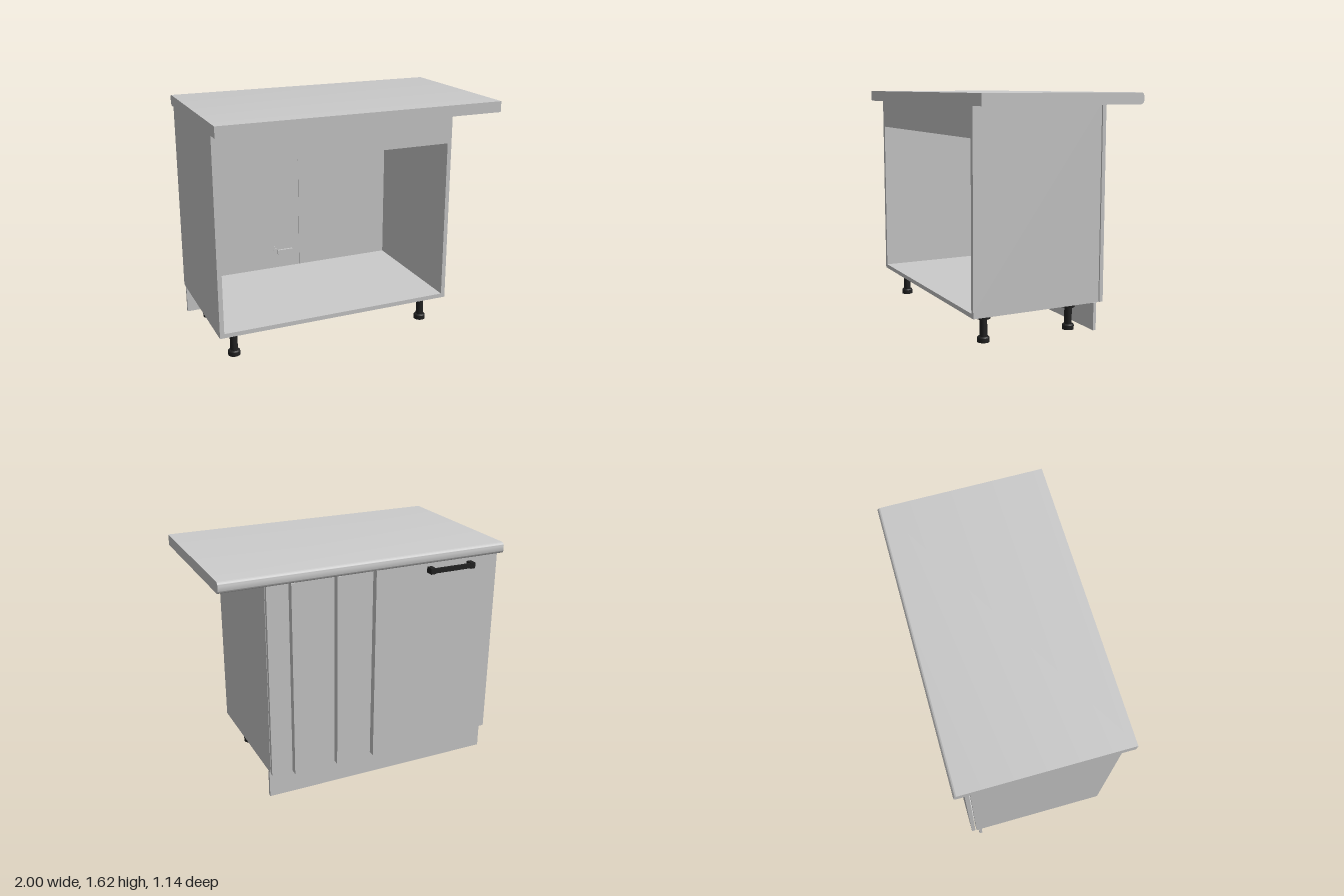
import * as THREE from 'three';
import { toCreasedNormals } from 'three/addons/utils/BufferGeometryUtils.js';

const grey = new THREE.MeshStandardMaterial({ color: 0xcccccc });
const black = new THREE.MeshStandardMaterial({ color: 0x222222 });

// Box given by its limits on each axis
function box(parent, name, [x0, x1], [y0, y1], [z0, z1], material = grey) {
  const mesh = new THREE.Mesh(new THREE.BoxGeometry(x1 - x0, y1 - y0, z1 - z0), material);
  mesh.position.set((x0 + x1) / 2, (y0 + y1) / 2, (z0 + z1) / 2);
  mesh.name = name;
  parent.add(mesh);
  return mesh;
}

// Worktop with a rounded edge on the door side
function worktop() {
  const h = 0.075, d = 0.57, r = 0.025;
  const s = new THREE.Shape();
  s.moveTo(-d, 0);
  s.lineTo(d - r, 0);
  s.absarc(d - r, r, r, -Math.PI / 2, 0, false);
  s.lineTo(d, h - r);
  s.absarc(d - r, h - r, r, 0, Math.PI / 2, false);
  s.lineTo(-d, h);
  s.closePath();
  const geo = new THREE.ExtrudeGeometry(s, { depth: 2, bevelEnabled: false, curveSegments: 8 });
  geo.rotateY(Math.PI / 2).translate(-1, 1.55, 0);
  const mesh = new THREE.Mesh(toCreasedNormals(geo, 0.6), grey);
  mesh.name = 'worktop';
  return mesh;
}

// Adjustable foot turned from one profile
function leg(x, z) {
  const profile = [
    [0, 0], [0.041, 0], [0.041, 0.03], [0.034, 0.038], [0.026, 0.038], [0.026, 0.155],
    [0.046, 0.158], [0.046, 0.185], [0.062, 0.19], [0.062, 0.2], [0, 0.2],
  ].map(([r, y]) => new THREE.Vector2(r, y));
  const geo = toCreasedNormals(new THREE.LatheGeometry(profile, 24), 0.5);
  const mesh = new THREE.Mesh(geo, black);
  mesh.position.set(x, 0, z);
  mesh.name = 'leg';
  return mesh;
}

// Concealed hinge: cup in the door, flange and arm
function hinge(y) {
  const g = new THREE.Group();
  g.name = 'hinge';
  const cup = new THREE.Mesh(new THREE.CylinderGeometry(0.028, 0.028, 0.006, 24), grey);
  cup.rotation.x = Math.PI / 2;
  cup.position.set(-0.275, y, -0.475);
  cup.name = 'hingeCup';
  g.add(cup);
  box(g, 'hingeFlange', [-0.302, -0.28], [y - 0.045, y + 0.045], [-0.478, -0.474]);
  box(g, 'hingeArm', [-0.26, -0.14], [y - 0.016, y + 0.016], [-0.478, -0.46]);
  return g;
}

export function createModel() {
  const model = new THREE.Group();
  model.name = 'cornerBaseCabinet';
  model.add(worktop());

  // Carcass, open towards +z
  const carcass = new THREE.Group();
  carcass.name = 'carcass';
  model.add(carcass);
  const depth = [-0.468, 0.477];
  box(carcass, 'bottomPanel', [-1, 0.68], [0.2, 0.23], depth);
  box(carcass, 'rightSidePanel', [-1, -0.97], [0.23, 1.55], depth);
  box(carcass, 'leftSidePanel', [0.65, 0.68], [0.23, 1.55], depth);
  box(carcass, 'uprightRail', [-0.97, 0.65], [1.345, 1.55], [0.447, 0.477]);
  box(carcass, 'flatRail', [-0.97, 0.65], [1.52, 1.55], [-0.468, -0.33]);

  // Door, fixed panel and upright battens
  const face = [-0.503, -0.476], height = [0.2, 1.547];
  box(model, 'door', [-0.998, -0.081], height, face);
  box(model, 'fixedPanel', [-0.079, 0.68], height, face);
  for (const x of [-0.079, 0.195, 0.505]) {
    box(model, 'batten', [x, x + 0.028], height, [-0.55, -0.503]);
  }
  for (const y of [0.355, 1.39]) model.add(hinge(y));

  // Door handle
  const handle = new THREE.Group();
  handle.name = 'handle';
  model.add(handle);
  box(handle, 'handleBar', [-0.79, -0.45], [1.474, 1.506], [-0.557, -0.54], black);
  for (const x of [-0.79, -0.485]) {
    box(handle, 'handlePost', [x, x + 0.035], [1.47, 1.51], [-0.558, -0.503], black);
  }

  // Plinth and legs
  box(model, 'plinth', [-1, 0.68], [0.005, 0.198], [-0.45, -0.428]);
  for (const x of [-0.872, 0.552]) {
    for (const z of [0.345, -0.305]) model.add(leg(x, z));
  }
  return model;
}
